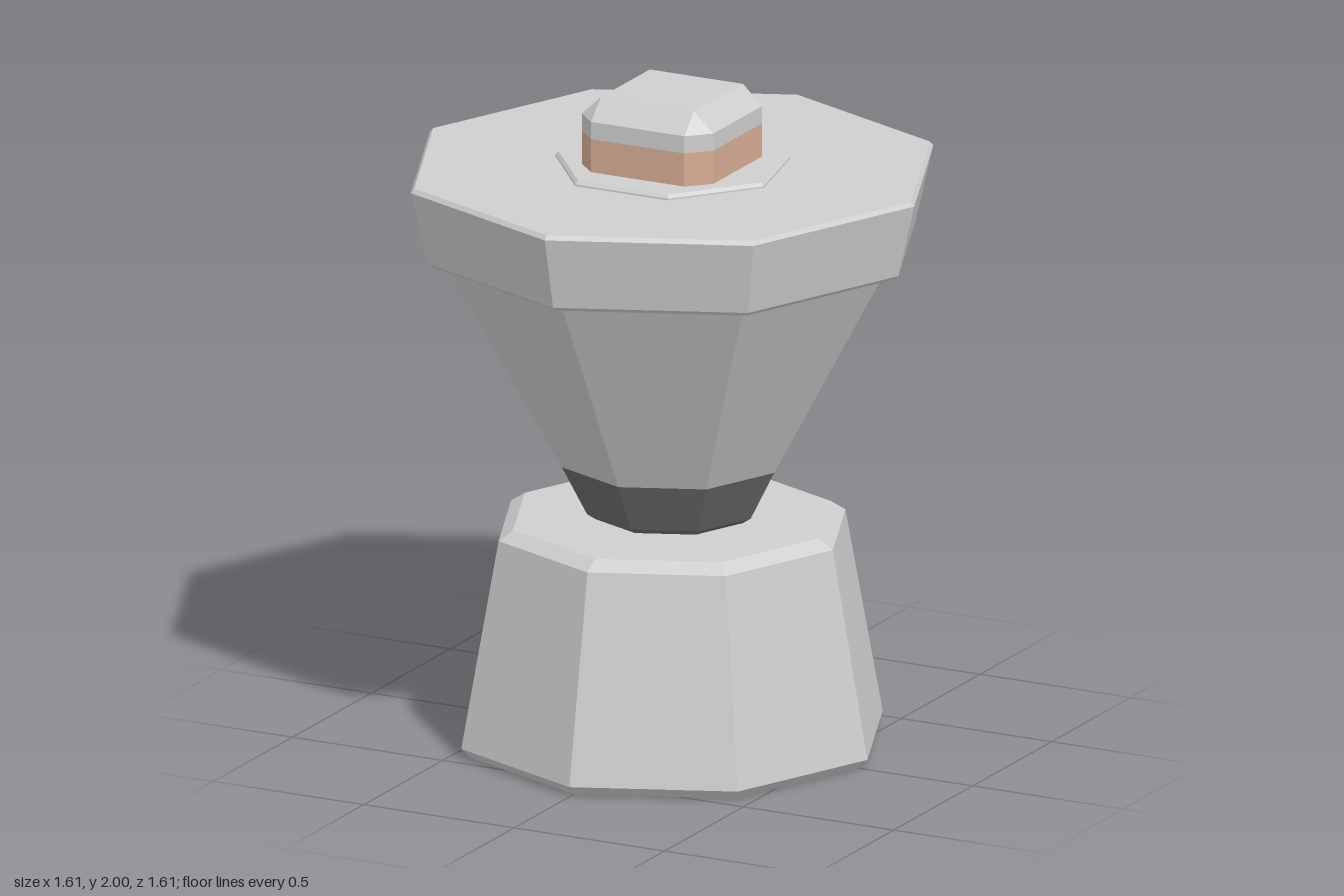
import * as THREE from 'three';
import { ConvexGeometry } from 'three/addons/geometries/ConvexGeometry.js';

const paint = (name, color) => {
  const m = new THREE.MeshStandardMaterial({ color, flatShading: true });
  m.name = name;
  return m;
};

export function createModel() {
  const group = new THREE.Group();
  const grey = paint('light grey', 0xcecece);
  const dark = paint('dark grey', 0x6c6c6c);
  const copper = paint('copper', 0xd6ac94);

  const add = (name, geometry, material) => {
    const mesh = new THREE.Mesh(geometry, material);
    mesh.name = name;
    group.add(mesh);
  };

  // Faceted turned part from [radius, y] pairs, bottom to top
  const turned = (name, profile, material, sides = 8, start = 0) => add(
    name,
    new THREE.LatheGeometry(profile.map(([r, y]) => new THREE.Vector2(r, y)), sides, start),
    material
  );

  // Square with cut corners at height y
  const HALF = 0.218, INNER = 0.155;
  const ring = (y) => [[1, 1], [1, -1], [-1, -1], [-1, 1]].flatMap(([x, z]) => [
    new THREE.Vector3(x * HALF, y, z * INNER),
    new THREE.Vector3(x * INNER, y, z * HALF),
  ]);
  const topSquare = [[1, 1], [1, -1], [-1, -1], [-1, 1]].map(
    ([x, z]) => new THREE.Vector3(x * INNER, 2, z * INNER));

  // Bevelled foot
  turned('base', [[0, 0], [0.62, 0], [0.65, 0.03], [0.535, 0.66], [0.49, 0.69], [0, 0.69]], grey);

  // Cone with a dark tip
  turned('coneTip', [[0, 0.7], [0.235, 0.7], [0.262, 0.718], [0.34, 0.87]], dark);
  turned('cone', [[0.34, 0.87], [0.7, 1.525]], grey);

  // Wide lid
  turned('lid', [[0, 1.523], [0.74, 1.523], [0.753, 1.535], [0.806, 1.757], [0.795, 1.77], [0, 1.77]], grey);

  // Seven-sided washer under the knob
  turned('washer', [[0.355, 1.768], [0.355, 1.775], [0.345, 1.785], [0, 1.785]], grey, 7, Math.PI);

  // Knob: coloured band below a bevelled cap
  add('knobBand', new ConvexGeometry([...ring(1.775), ...ring(1.887)]), copper);
  add('knobCap', new ConvexGeometry([...ring(1.887), ...ring(1.94), ...topSquare]), grey);

  return group;
}
